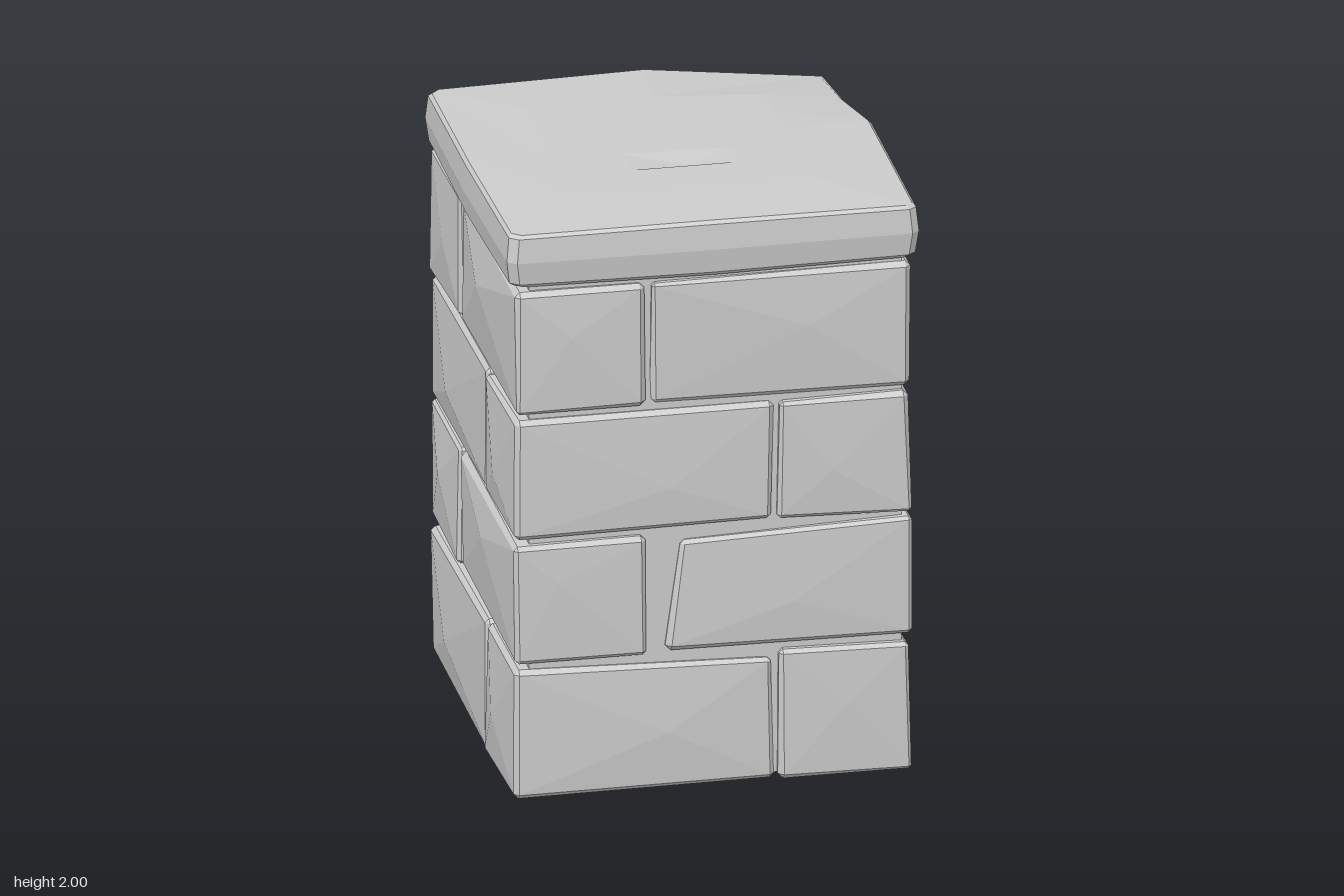
import * as THREE from 'three';
import { ConvexGeometry } from 'three/addons/geometries/ConvexGeometry.js';

const stone = new THREE.MeshStandardMaterial({ color: 0xcccccc, flatShading: true });

// small seeded noise in -1..1
let seed = 7;
const noise = () => {
  seed = (seed * 16807) % 2147483647;
  return (seed / 2147483647) * 2 - 1;
};

// quarter turns about the vertical axis: front, left (+x), back, right (-x)
const turn = (p, n) => {
  for (let i = 0; i < n; i++) p.set(p.z, p.y, -p.x);
  return p;
};

// worn corners: 'course,brick' -> [local x end, y end, dx, dy]
const worn = {
  '0,0': [[1, 1, -0.01, -0.02]],
  '0,1': [[1, 1, 0, -0.035], [1, -1, 0, 0.045]],
  '0,2': [[-1, -1, 0, 0.045], [-1, 1, 0, -0.02], [1, -1, 0, 0.01]],
  '1,0': [[-1, 1, 0.09, -0.03], [-1, -1, 0.04, 0]],
  '1,1': [[1, -1, -0.03, 0.035]],
  '2,0': [[1, -1, -0.01, 0.01]],
  '3,1': [[1, 1, 0, -0.05], [1, -1, -0.02, 0]],
};

// bevelled, slightly bulging block laid along the front, then turned into place
function brick(x0, x1, y0, y1, course, n) {
  const z0 = 0.22, z1 = 0.655, pts = [];
  for (const sx of [-1, 1]) for (const sy of [-1, 1]) for (const sz of [-1, 1]) {
    let x = (sx < 0 ? x0 : x1) + noise() * 0.006;
    let y = (sy < 0 ? y0 : y1) - sy * Math.abs(noise()) * 0.01;
    const z = (sz < 0 ? z0 : z1) + noise() * 0.006;
    for (const [ex, ey, dx, dy] of worn[`${course},${n}`] ?? []) {
      if (ex === sx && ey === sy) { x += dx; y += dy; }
    }
    const b = 0.014 + noise() * 0.005;
    pts.push(new THREE.Vector3(x, y - sy * b, z - sz * b));
    pts.push(new THREE.Vector3(x - sx * b, y, z - sz * b));
    pts.push(new THREE.Vector3(x - sx * b, y - sy * b, z));
  }
  // off-centre high points on the faces, stronger towards the two sides
  const cx = (x0 + x1) / 2 + noise() * 0.12, cy = (y0 + y1) / 2 + noise() * 0.08;
  pts.push(new THREE.Vector3(cx, cy, z1 + (n % 2 ? 0.026 : 0.012)));
  pts.push(new THREE.Vector3(cx, y0 - 0.008, 0.45), new THREE.Vector3(cx, y1 + 0.004, 0.45));
  const bulge = n % 2 ? 0.01 : 0.02;
  const end = Math.abs(x0) > Math.abs(x1) ? x0 - bulge : x1 + bulge;
  pts.push(new THREE.Vector3(end, cy, 0.44 + noise() * 0.08));
  return new THREE.Mesh(new ConvexGeometry(pts.map((p) => turn(p, n))), stone);
}

// capstone: stacked rings around a chipped outline
function capstone() {
  // x, z, top y, bottom y
  const outline = [
    [-0.68, 0.64, 1.985, 1.8], [-0.65, 0.665, 1.985, 1.8], [0, 0.675, 1.99, 1.795],
    [0.66, 0.67, 1.985, 1.8], [0.685, 0.65, 1.985, 1.8], [0.69, -0.08, 1.99, 1.805],
    [0.65, -0.36, 1.965, 1.82], [0.64, -0.62, 1.94, 1.84], [0.05, -0.675, 1.99, 1.81],
    [-0.65, -0.67, 1.98, 1.8], [-0.68, -0.64, 1.98, 1.8], [-0.69, 0, 1.99, 1.795],
  ];
  // scale, height fraction
  const rings = [[0.96, 0], [0.985, 0.08], [1, 0.5], [0.988, 0.94], [0.972, 1]];
  const pos = [], idx = [], n = outline.length;
  for (const [s, t] of rings) {
    for (const [x, z, top, bottom] of outline) pos.push(x * s, bottom + (top - bottom) * t, z * s);
  }
  // gently domed top with a shallow dent
  for (const [x, z, top] of outline) pos.push(x * 0.6, 1.996 + (top - 1.985) * 0.2, z * 0.6);
  for (const [x, z] of outline) pos.push(x * 0.26, 2, z * 0.1 + 0.14);
  const last = rings.length + 1;
  for (let r = 0; r < last; r++) {
    for (let i = 0; i < n; i++) {
      const a = r * n + i, b = r * n + (i + 1) % n;
      idx.push(a, b, b + n, a, b + n, a + n);
    }
  }
  const dent = pos.length / 3;
  pos.push(0.02, 1.985, 0.17, 0, 1.8, 0);
  for (let i = 0; i < n; i++) {
    const j = (i + 1) % n;
    idx.push(dent, last * n + i, last * n + j, dent + 1, j, i);
  }
  const g = new THREE.BufferGeometry();
  g.setAttribute('position', new THREE.Float32BufferAttribute(pos, 3));
  g.setIndex(idx);
  const flat = g.toNonIndexed();
  flat.computeVertexNormals();
  return new THREE.Mesh(flat, stone);
}

export function createModel() {
  seed = 7;
  const model = new THREE.Group();
  model.name = 'brickPillar';

  // recessed mortar core, nearer the surface at the front
  const core = new THREE.Mesh(new THREE.BoxGeometry(1.235, 1.79, 1.24), stone);
  core.position.set(0.012, 0.03 + 1.79 / 2, 0.015);
  core.name = 'mortarCore';
  model.add(core);

  // four courses, each a pinwheel of four bricks, alternating direction
  const courses = [[0.008, 0.465], [0.482, 0.903], [0.912, 1.34], [1.347, 1.79]];
  courses.forEach(([y0, y1], c) => {
    const course = new THREE.Group();
    course.name = `course${c + 1}`;
    for (let n = 0; n < 4; n++) {
      const [x0, x1] = c % 2 ? [-0.2, 0.66] : [-0.66, 0.2];
      const b = brick(x0, x1, y0, y1, c, n);
      b.name = `brick${n + 1}`;
      course.add(b);
    }
    model.add(course);
  });

  const cap = capstone();
  cap.name = 'capstone';
  model.add(cap);
  return model;
}
